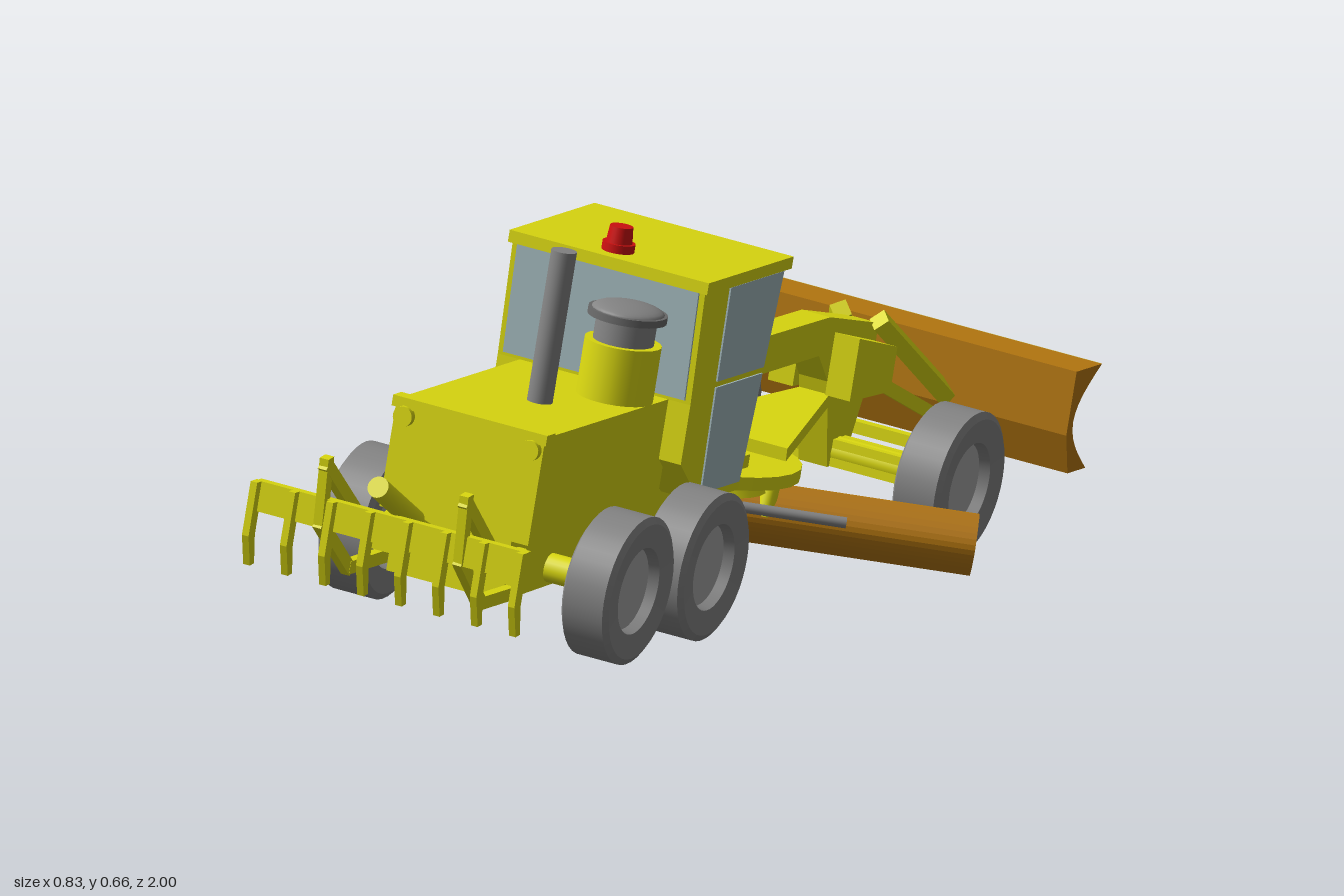
import * as THREE from 'three';

const mat = (color, side = THREE.FrontSide) => new THREE.MeshStandardMaterial({ color, side });
const yellow = mat(0xdedc10), brown = mat(0xb97a10), steel = mat(0x858585), rim = mat(0xa8a8a8);
const glass = mat(0xa6bcc0), red = mat(0xd01010), dark = mat(0x6b6b6b), olive = mat(0xc4c468, THREE.DoubleSide);
const V = (x, y, z) => new THREE.Vector3(x, y, z);

export function createModel() {
  const model = new THREE.Group();
  model.name = 'roadGrader';
  // The whole machine leans ten degrees to its left
  const body = new THREE.Group();
  body.name = 'leaningMachine';
  body.rotation.z = -THREE.MathUtils.degToRad(10);
  body.position.set(-0.01, 0.048, 0);
  model.add(body);

  const add = (name, geo, material, x = 0, y = 0, z = 0, parent = body) => {
    const m = new THREE.Mesh(geo, material);
    m.name = name;
    m.position.set(x, y, z);
    parent.add(m);
    return m;
  };
  const box = (name, material, w, h, d, x, y, z) => add(name, new THREE.BoxGeometry(w, h, d), material, x, y, z);
  const cyl = (name, material, r1, r2, h, x, y, z) => add(name, new THREE.CylinderGeometry(r1, r2, h, 24), material, x, y, z);
  // Square bar or round rod between two points
  const bar = (name, a, b, w, h) => {
    const m = add(name, new THREE.BoxGeometry(w, h, a.distanceTo(b)), yellow);
    m.position.copy(a).lerp(b, 0.5);
    m.quaternion.setFromUnitVectors(V(0, 0, 1), b.clone().sub(a).normalize());
  };
  const rod = (name, a, b, r, material = yellow) => {
    const m = cyl(name, material, r, r, a.distanceTo(b), 0, 0, 0);
    m.position.copy(a).lerp(b, 0.5);
    m.quaternion.setFromUnitVectors(V(0, 1, 0), b.clone().sub(a).normalize());
  };
  // Side outline given as [z, y], extruded across x and centred
  const side = (pts, width) => {
    const shape = new THREE.Shape(pts.map(([z, y]) => new THREE.Vector2(z, y)));
    return new THREE.ExtrudeGeometry(shape, { depth: width, bevelEnabled: false })
      .rotateY(-Math.PI / 2).translate(width / 2, 0, 0);
  };
  const cx = -0.007;

  // Wheels with recessed rims, and axles
  const tyre = new THREE.LatheGeometry([[0.072, -0.038], [0.112, -0.043], [0.123, -0.036], [0.123, 0.036],
    [0.112, 0.043], [0.072, 0.038], [0.068, 0.02], [0.068, -0.02], [0.072, -0.038]]
    .flatMap(([r, y]) => [new THREE.Vector2(r, y), new THREE.Vector2(r, y)]), 40).rotateZ(-Math.PI / 2);
  const disc = new THREE.CylinderGeometry(0.07, 0.07, 0.04, 32).rotateZ(Math.PI / 2);
  for (const z of [0.52, 0.245, -0.69]) {
    for (const s of [-1, 1]) {
      const wheel = new THREE.Group();
      wheel.name = 'wheel';
      wheel.position.set(s * 0.221, 0.123, z);
      body.add(wheel);
      add('tyre', tyre, steel, 0, 0, 0, wheel);
      add('rim', disc, rim, 0, 0, 0, wheel);
    }
    rod('axle', V(-0.2, 0.123, z), V(0.2, 0.123, z), 0.024);
  }

  // Engine hood and chassis
  box('hood', yellow, 0.27, 0.18, 0.47, cx, 0.28, 0.45);
  add('chassis', side([[0.685, 0.09], [0.685, 0.2], [0.05, 0.2], [0.09, 0.1]], 0.21), yellow, cx);
  box('hoodRearTrim', yellow, 0.28, 0.018, 0.03, cx, 0.367, 0.675);
  for (const s of [-1, 1]) rod('rearLamp', V(cx + s * 0.115, 0.346, 0.68), V(cx + s * 0.115, 0.346, 0.697), 0.017);

  // Exhaust and air filter
  cyl('exhaustPipe', steel, 0.021, 0.021, 0.26, 0.007, 0.492, 0.462);
  cyl('filterBase', yellow, 0.063, 0.063, 0.1, 0.066, 0.413, 0.308);
  cyl('filterNeck', steel, 0.05, 0.05, 0.05, 0.066, 0.485, 0.308);
  cyl('filterRim', dark, 0.065, 0.065, 0.012, 0.066, 0.508, 0.308);
  add('filterDome', new THREE.SphereGeometry(0.06, 24, 8, 0, Math.PI * 2, 0, Math.PI / 2).scale(1, 0.25, 1), steel, 0.066, 0.513, 0.308);

  // Cab shell, roof and panes
  add('cab', side([[0.0, 0.195], [0.14, 0.195], [0.235, 0.27], [0.235, 0.37], [0.248, 0.565], [-0.045, 0.565]], 0.35), yellow, cx);
  box('roof', yellow, 0.362, 0.02, 0.31, cx, 0.568, 0.098);
  box('sunVisor', yellow, 0.33, 0.016, 0.03, cx, 0.55, -0.05);
  for (const s of [-1, 1]) {
    add('upperSidePane', side([[0.152, 0.398], [0.157, 0.556], [-0.037, 0.556], [-0.018, 0.398]], 0.006), glass, cx + s * 0.175);
    add('lowerSidePane', side([[0.145, 0.21], [0.152, 0.388], [-0.017, 0.388], [0.005, 0.21]], 0.006), glass, cx + s * 0.175);
  }
  add('rearWindow', side([[0.23, 0.376], [0.2395, 0.376], [0.2515, 0.558], [0.24, 0.558]], 0.33), glass, cx);
  add('windscreen', side([[-0.025, 0.376], [-0.0255, 0.376], [-0.0465, 0.545], [-0.03, 0.545]], 0.32), glass, cx);
  cyl('beaconBase', red, 0.027, 0.027, 0.014, -0.018, 0.585, 0.2);
  cyl('beaconLamp', red, 0.019, 0.022, 0.03, -0.018, 0.604, 0.2);

  // Main beam bending down to the front axle
  add('mainBeam', side([[0.02, 0.3], [0.02, 0.366], [-0.58, 0.362], [-0.77, 0.325], [-0.77, 0.24], [-0.72, 0.1],
    [-0.66, 0.1], [-0.61, 0.25], [-0.56, 0.3]], 0.052), yellow, cx);
  for (const s of [-1, 1]) {
    add('beamCheek', side([[-0.6, 0.23], [-0.6, 0.335], [-0.75, 0.3], [-0.75, 0.225]], 0.045), yellow, cx + s * 0.052);
    bar('upperPloughArm', V(cx + s * 0.035, 0.335, -0.75), V(cx + s * 0.1, 0.2, -0.915), 0.028, 0.028);
    bar('lowerPloughArm', V(cx + s * 0.03, 0.24, -0.75), V(cx + s * 0.1, 0.16, -0.915), 0.022, 0.03);
  }
  box('frontAxleBeam', yellow, 0.3, 0.045, 0.045, 0, 0.123, -0.69);
  box('tieRod', yellow, 0.27, 0.02, 0.02, 0, 0.15, -0.77);

  // Front plough: flat back, hollow face
  const arc = (zLip, zBack, y0, y1, n = 12) => Array.from({ length: n + 1 }, (_, i) => {
    const t = i / n;
    return [zLip + (zBack - zLip) * Math.sin(Math.PI * t), y0 + (y1 - y0) * t];
  });
  const hollow = arc(-1, -0.925, 0.123, 0.297);
  add('plough', side([...hollow, [-0.907, 0.297], [-0.907, 0.19], [-0.935, 0.123]], 0.645), brown, cx);
  const face = new THREE.PlaneGeometry(0.64, 1, 1, 12);
  const p = face.attributes.position;
  for (let i = 0; i < p.count; i++) {
    const [z, y] = hollow[12 - Math.floor(i / 2)];
    p.setXYZ(i, p.getX(i), y, z - 0.002);
  }
  face.computeVertexNormals();
  add('ploughFace', face, olive, cx);

  // Angled grading blade, bulging to the rear
  const blade = add('gradingBlade', side([...arc(-0.02, 0.012, 0.038, 0.14), ...arc(-0.013, 0.025, 0.14, 0.038)], 0.91), brown, -0.012, 0, -0.245);
  blade.rotation.y = THREE.MathUtils.degToRad(27);

  // Turntable, drawbar and lift cylinders
  cyl('turntable', yellow, 0.16, 0.16, 0.022, -0.014, 0.168, -0.25);
  cyl('turntableHub', yellow, 0.09, 0.11, 0.03, -0.014, 0.145, -0.25);
  const draw = new THREE.Shape([[-0.11, 0.32], [0.1, 0.32], [0.02, 0.63], [-0.03, 0.63]].map(([x, y]) => new THREE.Vector2(x, y)));
  const drawbar = add('drawbar', new THREE.ExtrudeGeometry(draw, { depth: 0.022, bevelEnabled: false }), yellow, 0, 0.165, 0);
  drawbar.rotation.x = -Math.PI / 2 + 0.09;
  drawbar.position.y = 0.15;
  for (const s of [-1, 1]) {
    const x = cx + s * 0.065;
    rod('liftCylinder', V(x, 0.26, -0.205), V(x, 0.4, -0.205), 0.015);
    rod('liftRod', V(x, 0.17, -0.205), V(x, 0.27, -0.205), 0.008, steel);
    box('liftFoot', yellow, 0.045, 0.025, 0.03, x, 0.188, -0.205);
    rod('bladeBracket', V(cx + s * 0.1, 0.165, -0.25 - s * 0.05), V(cx + s * 0.1, 0.09, -0.235 - s * 0.05), 0.014);
  }
  box('liftBracket', yellow, 0.15, 0.03, 0.03, cx, 0.33, -0.205);
  rod('sideShiftRod', V(0.02, 0.105, -0.225), V(0.22, 0.105, -0.325), 0.009, steel);

  // Rear ripper: linkage, cross bar and eight tines
  for (const s of [-1, 1]) {
    const x = cx + s * 0.12, o = cx + s * 0.127;
    bar('upperLinkRoot', V(x, 0.17, 0.67), V(x, 0.17, 0.765), 0.016, 0.022);
    bar('upperLink', V(x, 0.165, 0.755), V(o, 0.3, 0.94), 0.016, 0.022);
    bar('lowerLinkRoot', V(x, 0.11, 0.67), V(x, 0.11, 0.81), 0.016, 0.022);
    bar('lowerLink', V(x, 0.105, 0.8), V(o, 0.2, 0.925), 0.016, 0.022);
    bar('linkPost', V(o, 0.31, 0.935), V(o, 0.19, 0.918), 0.016, 0.02);
  }
  box('linkRoot', yellow, 0.28, 0.035, 0.02, cx, 0.14, 0.69);
  rod('ripperRod', V(-0.012, 0.16, 0.68), V(-0.012, 0.225, 0.84), 0.009);
  rod('ripperCylinder', V(-0.012, 0.22, 0.83), V(-0.012, 0.298, 0.99), 0.018);
  box('ripperBar', yellow, 0.49, 0.05, 0.018, -0.01, 0.215, 0.915);
  const tine = side([[0.905, 0.24], [0.905, 0.15], [0.89, 0.1], [0.905, 0.098], [0.928, 0.15], [0.928, 0.24]].reverse(), 0.012);
  for (let i = 0; i < 8; i++) add('ripperTine', tine, yellow, -0.252 + i * 0.069, 0, 0.012);

  return model;
}
